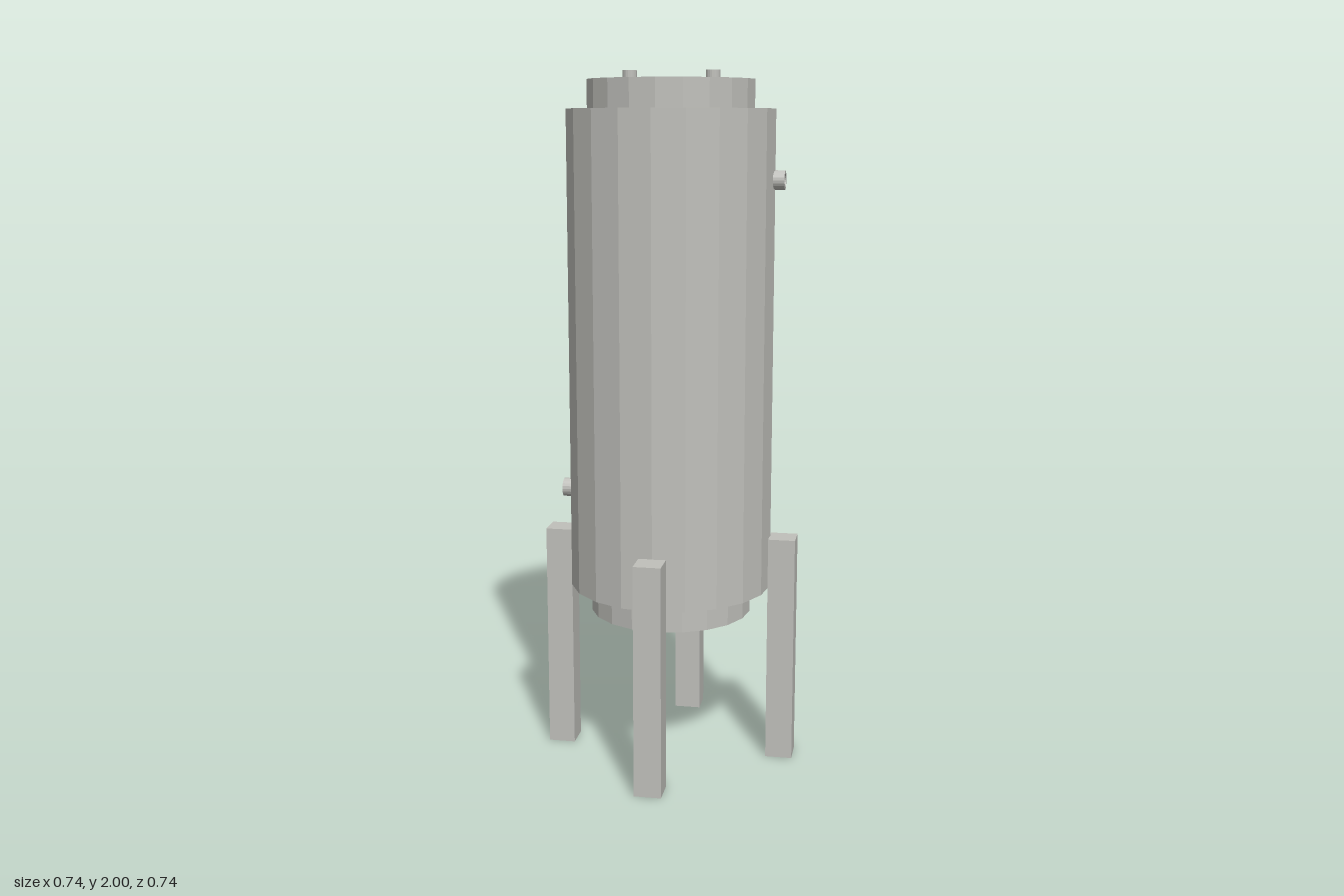
import * as THREE from 'three';

export function createModel() {
  const model = new THREE.Group();
  model.name = 'verticalTank';
  const steel = new THREE.MeshStandardMaterial({ color: 0xc0c0bb });
  steel.name = 'pale grey steel';
  steel.flatShading = true;

  const add = (name, geometry, x = 0, y = 0, z = 0) => {
    const mesh = new THREE.Mesh(geometry, steel);
    mesh.name = name;
    mesh.position.set(x, y, z);
    model.add(mesh);
    return mesh;
  };

  // Faceted cylinder between two heights
  const drum = (name, radius, bottom, top) =>
    add(name, new THREE.CylinderGeometry(radius, radius, top - bottom, 20), 0, (bottom + top) / 2);

  drum('tankBody', 0.295, 0.52, 1.895);
  drum('topCap', 0.236, 1.895, 1.975);
  drum('bottomCap', 0.236, 0.44, 0.52);

  // Open pipe stub, pointing up until rotated
  const pipe = (name, outer, inner, length, x, y, tilt) => {
    const profile = [[outer, 0], [outer, length], [inner, length], [inner, 0]]
      .map(([r, h]) => new THREE.Vector2(r, h));
    add(name, new THREE.LatheGeometry(profile, 20), x, y).rotation.z = tilt;
  };

  pipe('topPortLeft', 0.02, 0.014, 0.025, 0.118, 1.975, 0);
  pipe('topPortRight', 0.02, 0.014, 0.025, -0.118, 1.975, 0);
  pipe('upperSidePort', 0.027, 0.019, 0.033, 0.29, 1.7, -Math.PI / 2);
  pipe('lowerSidePort', 0.027, 0.019, 0.033, -0.29, 0.793, Math.PI / 2);
  pipe('drainPort', 0.02, 0.014, 0.025, 0, 0.44, Math.PI);

  // Four square legs around the body
  ['leftLeg', 'frontLeg', 'rightLeg', 'backLeg'].forEach((name, i) => {
    const a = i * Math.PI / 2;
    add(name, new THREE.BoxGeometry(0.078, 0.672, 0.078),
      0.332 * Math.cos(a), 0.336, 0.332 * Math.sin(a));
  });

  return model;
}
